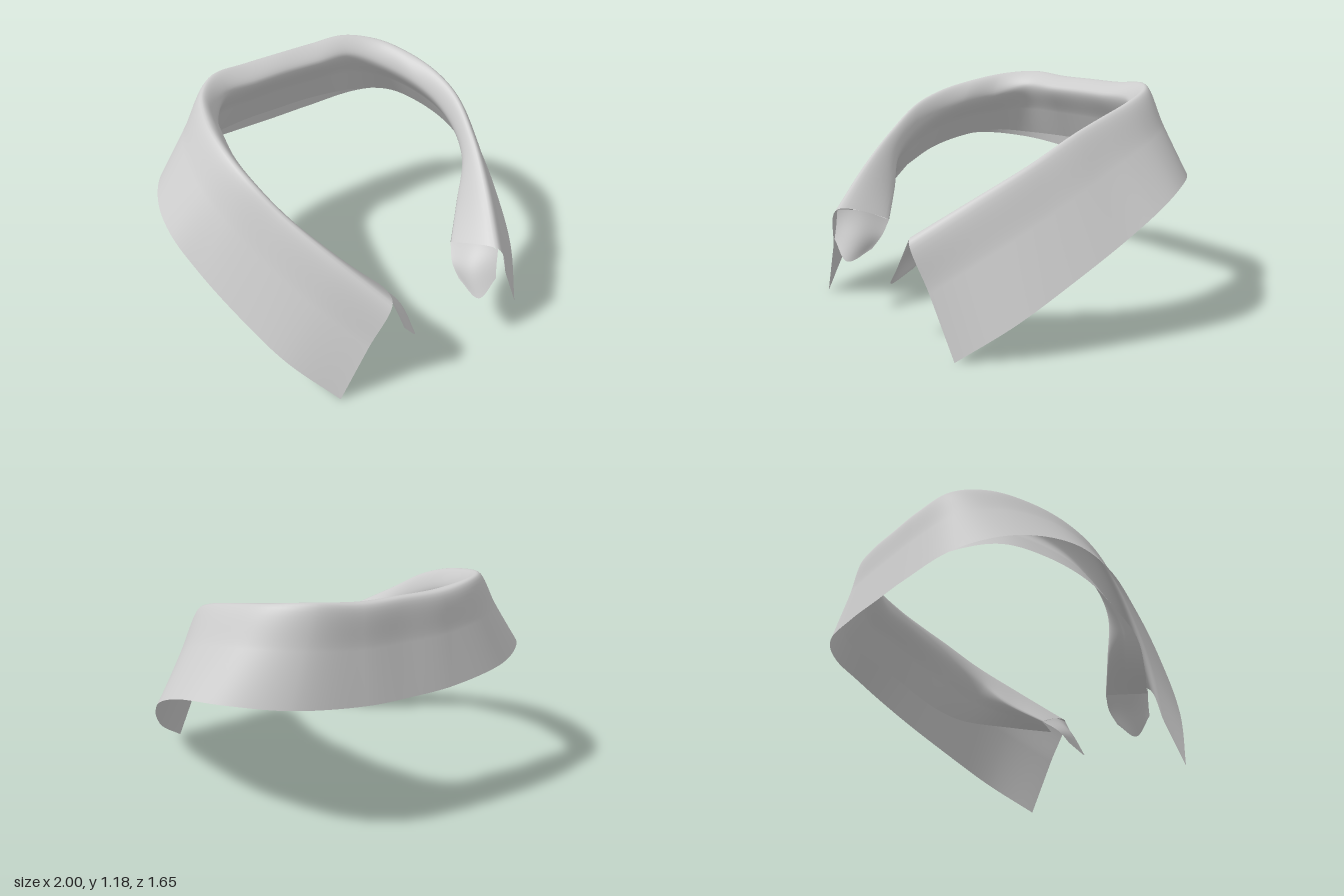
import * as THREE from 'three';
import { ParametricGeometry } from 'three/addons/geometries/ParametricGeometry.js';

const vec = (p) => new THREE.Vector3(...p);
const mirror = (p) => [-p[0], p[1], p[2]];
const mix = (a, b, t) => a.map((n, i) => n + (b[i] - n) * t);

// Smooth sheet through rails; every rail has one point per station
function sheet(name, rails, nu, nv) {
  const curves = rails.map((r) => new THREE.CatmullRomCurve3(r.map(vec)));
  const surface = (u, v, target) => {
    const section = new THREE.CatmullRomCurve3(curves.map((c) => c.getPoint(u)));
    target.copy(section.getPoint(v));
  };
  const material = new THREE.MeshStandardMaterial({ color: 0xcccccc, side: THREE.DoubleSide });
  const mesh = new THREE.Mesh(new ParametricGeometry(surface, nu, nv), material);
  mesh.name = name;
  return mesh;
}

// Rails of the left half, from the centre back to the front
const hem = [[0, 0.7, -0.83], [0.25, 0.705, -0.825], [0.6, 0.735, -0.765], [0.84, 0.75, -0.6], [0.97, 0.725, -0.38],
  [1, 0.65, -0.2], [0.965, 0.525, 0], [0.89, 0.365, 0.24], [0.78, 0.185, 0.49], [0.61, 0.005, 0.715]];
const fold = [[0, 1.16, -0.742], [0.22, 1.16, -0.74], [0.43, 1.18, -0.69], [0.575, 1.165, -0.555], [0.66, 1.125, -0.35],
  [0.69, 1.075, -0.14], [0.68, 1.005, 0.05], [0.615, 0.88, 0.26], [0.495, 0.725, 0.51], [0.345, 0.545, 0.775]];
const roll = [[0, 1.1, -0.62], [0.2, 1.1, -0.61], [0.41, 1.1, -0.59], [0.55, 1.04, -0.45], [0.61, 1, -0.25],
  [0.635, 0.94, -0.07], [0.615, 0.85, 0.11], [0.55, 0.74, 0.26], [0.425, 0.59, 0.37], [0.265, 0.46, 0.51]];
const standEdge = [[0, 0.78, -0.79], [0.25, 0.78, -0.785], [0.53, 0.78, -0.72], [0.69, 0.79, -0.575], [0.765, 0.765, -0.37],
  [0.805, 0.705, -0.15], [0.8, 0.62, 0.04], [0.75, 0.55, 0.24], [0.56, 0.505, 0.51], [0.4, 0.475, 0.7]];

export function createModel() {
  const group = new THREE.Group();
  group.name = 'shirtCollar';

  // Outer fall, rolled top and inner stand as one folded sheet
  const between = (a, b, t) => a.map((p, i) => mix(p, b[i], t));
  const halves = [hem, between(hem, fold, 0.55), fold, roll, between(roll, standEdge, 0.5), standEdge];
  const rails = halves.map((r) => [...r.slice(1).reverse(), ...r.map(mirror)]);
  group.add(sheet('foldedCollar', rails, 144, 50));

  // Front tabs of the stand, curling down past the collar points
  const tab = [
    [[0.345, 0.545, 0.775], [0.32, 0.46, 0.8], [0.305, 0.4, 0.82]],
    [[0.3, 0.525, 0.65], [0.23, 0.42, 0.71], [0.215, 0.295, 0.8]],
    [[0.265, 0.46, 0.51], [0.21, 0.4, 0.59], [0.2, 0.34, 0.66]],
  ];
  group.add(sheet('leftFrontTab', tab.map((r) => [...r].reverse()), 12, 14));
  group.add(sheet('rightFrontTab', tab.map((r) => r.map(mirror)), 12, 14));

  return group;
}
